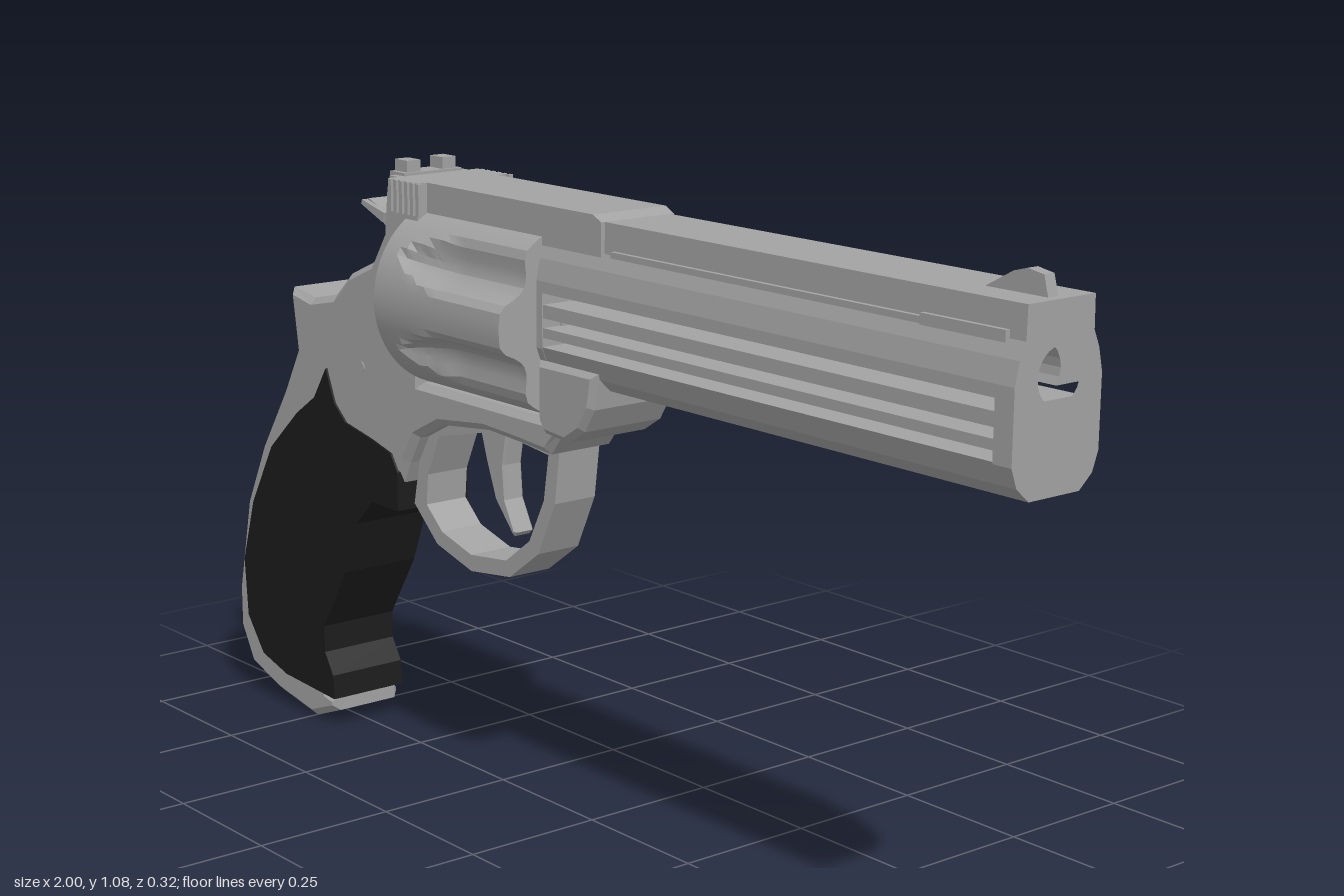
import * as THREE from 'three';
import { toCreasedNormals } from 'three/addons/utils/BufferGeometryUtils.js';

const steel = new THREE.MeshStandardMaterial({ color: 0xa2a2a2 });
steel.name = 'steel grey';
const rubber = new THREE.MeshStandardMaterial({ color: 0x1c1c1c });
rubber.name = 'grip black';

const shapeOf = (pts) => new THREE.Shape(pts.map(([x, y]) => new THREE.Vector2(x, y)));

export function createModel() {
  const model = new THREE.Group();

  const add = (name, geo, mat = steel) => {
    const mesh = new THREE.Mesh(geo, mat);
    mesh.name = name;
    model.add(mesh);
    return mesh;
  };
  const box = (name, x0, x1, y0, y1, z0, z1) =>
    add(name, new THREE.BoxGeometry(x1 - x0, y1 - y0, z1 - z0)
      .translate((x0 + x1) / 2, (y0 + y1) / 2, (z0 + z1) / 2));

  // Side profile (x, y) made into a plate of half thickness h with chamfered edges
  const plate = (name, shape, h, bevel = 0, mat = steel) =>
    add(name, new THREE.ExtrudeGeometry(shape, {
      depth: 2 * (h - bevel), bevelEnabled: bevel > 0, bevelThickness: bevel,
      bevelSize: bevel, bevelOffset: -bevel, bevelSegments: 1, curveSegments: 8,
    }).translate(0, 0, -(h - bevel)), mat);

  // Cross-section (z, y) extended from x0 to x1
  const beam = (name, shape, x0, x1) =>
    add(name, new THREE.ExtrudeGeometry(shape, { depth: x1 - x0, bevelEnabled: false })
      .rotateY(Math.PI / 2).translate(x0, 0, 0));

  // Frame with the backstrap and butt
  plate('frame', shapeOf([
    [-0.79, 0.81], [-0.72, 0.8], [-0.65, 0.815], [-0.6, 0.86], [-0.53, 0.89], [-0.49, 0.95],
    [-0.48, 1.04], [-0.385, 1.04], [-0.385, 0.7], [-0.035, 0.7], [0.01, 0.69], [-0.03, 0.64],
    [-0.1, 0.645], [-0.2, 0.65], [-0.33, 0.635], [-0.4, 0.6], [-0.43, 0.55], [-0.455, 0.5],
    [-0.6, 0.48], [-0.7, 0.25], [-0.73, 0.15], [-0.7, 0.06], [-0.67, 0.055], [-0.67, 0.03],
    [-0.75, 0], [-0.87, 0.02], [-0.96, 0.05], [-1, 0.12], [-1, 0.2], [-0.96, 0.38],
    [-0.9, 0.5], [-0.82, 0.62], [-0.775, 0.7],
  ]), 0.072, 0.012);

  // Black grip
  plate('grip', shapeOf([
    [-0.67, 0.68], [-0.645, 0.62], [-0.61, 0.59], [-0.53, 0.575], [-0.47, 0.56], [-0.45, 0.53],
    [-0.45, 0.46], [-0.53, 0.46], [-0.58, 0.41], [-0.62, 0.31], [-0.695, 0.19], [-0.695, 0.14],
    [-0.67, 0.1], [-0.667, 0.055], [-0.83, 0.063], [-0.91, 0.085], [-0.96, 0.15], [-0.968, 0.26],
    [-0.93, 0.38], [-0.86, 0.5], [-0.77, 0.58], [-0.71, 0.62],
  ]), 0.076, 0, rubber);

  // Top strap and the block under the rear sight
  plate('topStrap', shapeOf([
    [-0.46, 0.985], [-0.46, 1.05], [0.095, 1.05], [0.115, 1.04], [0.115, 0.985],
  ]), 0.074);
  box('rearSightBlock', -0.435, -0.35, 0.985, 1.05, -0.094, 0.094);
  for (let i = 0; i < 6; i++) {
    const x = -0.428 + i * 0.016;
    for (const s of [-1, 1])
      box('sightBlockRib', x, x + 0.008, 0.995, 1.05, s * 0.095 - 0.004, s * 0.095 + 0.004);
  }
  box('rearSightBase', -0.478, -0.435, 1.0, 1.055, -0.06, 0.06);
  for (const s of [-1, 1])
    box('rearSightPost', -0.476, -0.44, 1.05, 1.075, s * 0.037 - 0.014, s * 0.037 + 0.014);

  // Barrel: solid ends, and a middle cut through by three long slots
  const side = [[0.066, 1.04], [0.067, 0.99], [0.078, 0.965], [0.086, 0.93], [0.086, 0.82],
    [0.075, 0.79], [0.05, 0.768]];
  const mirror = (pts) => [...pts, ...pts.map(([z, y]) => [-z, y]).reverse()];
  const boreY = 0.935, boreR = 0.042;
  const ringed = () => {
    const s = shapeOf(mirror(side));
    s.holes.push(new THREE.Path().absarc(0, boreY, boreR, 0, Math.PI * 2, true));
    return s;
  };
  beam('muzzle', ringed(), 0.965, 1);
  beam('barrelRear', ringed(), -0.035, -0.02);

  const cut = 0.911;
  const a0 = Math.asin((cut - boreY) / boreR);
  const notch = [];
  for (let i = 0; i <= 14; i++) {
    const a = Math.PI - a0 + (2 * a0 - Math.PI) * (i / 14);
    notch.push([boreR * Math.cos(a), boreY + boreR * Math.sin(a)]);
  }
  beam('barrelTop', shapeOf([
    ...side.slice(0, 4).map(([z, y]) => [-z, y]), [-0.086, cut], ...notch,
    [0.086, cut], ...side.slice(0, 4).reverse(),
  ]), -0.02, 0.965);
  beam('barrelUnderlug', shapeOf(mirror([[0.086, 0.823], ...side.slice(5)])), -0.02, 0.965);
  for (const [y0, y1] of [[0.87, 0.892], [0.838, 0.854]])
    box('barrelSlotBar', -0.02, 0.965, y0, y1, -0.084, 0.084);
  for (const s of [-1, 1]) {
    box('barrelRail', 0.14, 0.81, 0.987, 0.997, s * 0.07 - 0.005, s * 0.07 + 0.005);
    box('barrelRailTip', 0.81, 0.97, 0.985, 1.002, s * 0.07 - 0.005, s * 0.07 + 0.005);
  }

  // Front sight blade
  plate('frontSight', shapeOf([
    [0.86, 1.035], [0.92, 1.068], [0.945, 1.075], [0.975, 1.07], [0.985, 1.035],
  ]), 0.01);

  // Crane block joining barrel and frame
  plate('crane', shapeOf([
    [-0.035, 0.8], [0.115, 0.8], [0.105, 0.74], [0.08, 0.7], [0.04, 0.675], [-0.02, 0.68], [-0.035, 0.7],
  ]), 0.088, 0.01);

  // Fluted cylinder: six scooped grooves, open at the front and rounded at the back
  const len = 0.35, R = 0.162, sector = Math.PI / 3;
  const drum = new THREE.CylinderGeometry(R, R, len, 72, 18).rotateZ(-Math.PI / 2);
  const p = drum.attributes.position;
  for (let i = 0; i < p.count; i++) {
    const x = p.getX(i), y = p.getY(i), z = p.getZ(i);
    if (Math.hypot(y, z) < R * 0.5) continue;
    const a = Math.atan2(y, z);
    const off = ((a % sector) + sector) % sector - sector / 2;
    const t = Math.min(1, Math.max(0, (x + len / 2 - 0.05) / 0.12));
    const w = 0.3 * Math.sqrt(t);
    const dip = w > 0 && Math.abs(off) < w ? 0.034 * Math.sqrt(t) * (1 - (off / w) ** 2) : 0;
    const k = 1 - dip / R;
    p.setXYZ(i, x, y * k, z * k);
  }
  add('cylinder', toCreasedNormals(drum, 0.35)).position.set(-0.21, 0.855, 0);

  // Ratchet disc between cylinder and barrel
  add('cylinderCollar', toCreasedNormals(new THREE.CylinderGeometry(0.05, 0.05, 0.03, 16).rotateZ(Math.PI / 2), 0.6))
    .position.set(-0.03, 0.855, 0);

  // Trigger guard
  const guard = shapeOf([
    [-0.4, 0.63], [-0.43, 0.55], [-0.447, 0.47], [-0.38, 0.41], [-0.28, 0.383], [-0.17, 0.397],
    [-0.09, 0.455], [-0.045, 0.55], [-0.03, 0.66], [-0.2, 0.675],
  ]);
  guard.holes.push(shapeOf([
    [-0.37, 0.605], [-0.405, 0.53], [-0.41, 0.475], [-0.365, 0.435], [-0.28, 0.412], [-0.18, 0.424],
    [-0.115, 0.472], [-0.075, 0.55], [-0.062, 0.63], [-0.2, 0.645],
  ]));
  plate('triggerGuard', guard, 0.042);

  // Trigger
  plate('trigger', shapeOf([
    [-0.29, 0.66], [-0.265, 0.58], [-0.24, 0.515], [-0.19, 0.46], [-0.182, 0.468],
    [-0.21, 0.52], [-0.215, 0.58], [-0.2, 0.66],
  ]), 0.02, 0.004);

  // Hammer with its thumb spur
  plate('hammer', shapeOf([
    [-0.46, 0.87], [-0.55, 0.87], [-0.52, 0.92], [-0.545, 0.945], [-0.61, 0.983], [-0.6, 0.99],
    [-0.54, 0.968], [-0.505, 0.975], [-0.46, 0.99],
  ]), 0.022);
  plate('hammerSpur', shapeOf([
    [-0.61, 0.98], [-0.607, 0.988], [-0.54, 0.972], [-0.545, 0.955],
  ]), 0.032);

  // Frame pins
  for (const [x, y] of [[-0.56, 0.7], [-0.43, 0.76]])
    add('framePin', new THREE.CylinderGeometry(0.01, 0.01, 0.148, 10).rotateX(Math.PI / 2)).position.set(x, y, 0);

  return model;
}
